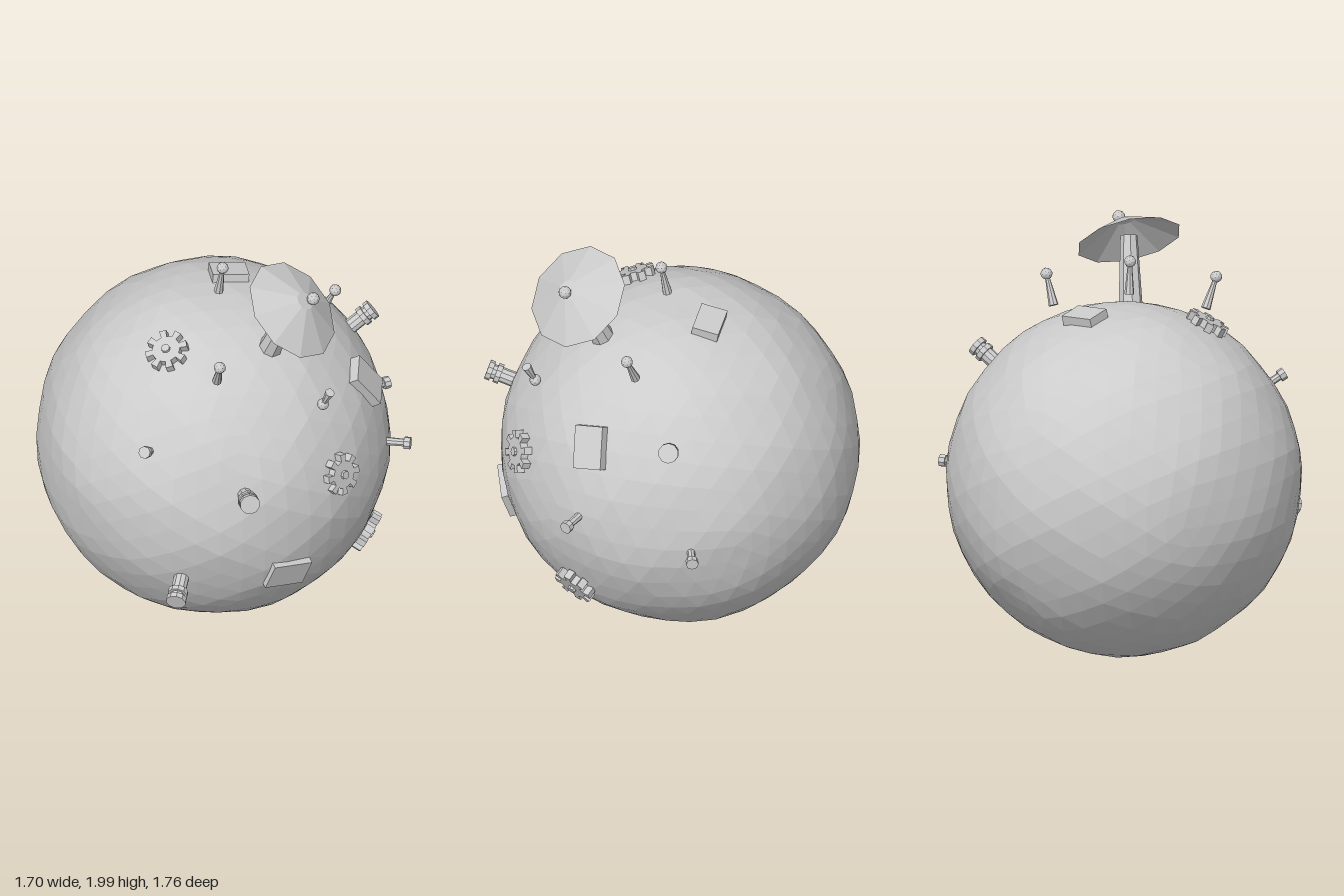
import * as THREE from 'three';

const material = new THREE.MeshStandardMaterial({ color: 0xcccccc, flatShading: true });
const doubleSided = new THREE.MeshStandardMaterial({ color: 0xcccccc, flatShading: true, side: THREE.DoubleSide });
const UP = new THREE.Vector3(0, 1, 0);
const CENTRE = new THREE.Vector3(-0.03, 0.83, -0.04);

function mesh(name, geometry, mat = material) {
  const m = new THREE.Mesh(geometry, mat);
  m.name = name;
  return m;
}

// Cylinder standing on local y0, reaching y1
function drum(name, rTop, rBottom, y0, y1, sides = 8) {
  return mesh(name, new THREE.CylinderGeometry(rTop, rBottom, y1 - y0, sides).translate(0, (y0 + y1) / 2, 0));
}

// Group whose local y points along the normal and local x follows a hint direction
function mount(name, position, parts, normal, hint = [1, 0, 0]) {
  const g = new THREE.Group();
  g.name = name;
  g.position.set(...position);
  const y = normal ? new THREE.Vector3(...normal) : g.position.clone().sub(CENTRE);
  y.normalize();
  const x = new THREE.Vector3(...hint);
  x.addScaledVector(y, -x.dot(y)).normalize();
  const z = x.clone().cross(y);
  g.quaternion.setFromRotationMatrix(new THREE.Matrix4().makeBasis(x, y, z));
  g.add(...parts);
  return g;
}

// Faceted ball with a slightly uneven surface
function makeBody() {
  const geo = new THREE.IcosahedronGeometry(1, 7);
  const p = geo.attributes.position;
  const v = new THREE.Vector3();
  for (let i = 0; i < p.count; i++) {
    v.fromBufferAttribute(p, i).normalize();
    const bump = 1
      + 0.006 * Math.sin(7 * v.x + 3 * v.y + 1) * Math.sin(6 * v.z - 4 * v.y)
      + 0.006 * Math.sin(11 * v.y + 5 * v.z) * Math.cos(9 * v.x - 2 * v.z)
      + 0.003 * Math.sin(19 * v.x + 2) * Math.sin(17 * v.y) * Math.cos(18 * v.z);
    p.setXYZ(i, v.x * 0.817 * bump, v.y * 0.822 * bump, v.z * 0.832 * bump);
  }
  geo.computeVertexNormals();
  const body = mesh('body', geo);
  body.position.copy(CENTRE);
  return body;
}

// Eight-toothed wheel with a small hub
function gearParts() {
  const shape = new THREE.Shape();
  const teeth = 8;
  const profile = [[-0.5, 0.066], [-0.24, 0.066], [-0.22, 0.1], [0.22, 0.1], [0.24, 0.066]];
  for (let i = 0; i < teeth; i++) {
    for (const [offset, r] of profile) {
      const a = ((i + offset) / teeth) * Math.PI * 2;
      const x = Math.cos(a) * r, y = Math.sin(a) * r;
      if (i === 0 && offset === -0.5) shape.moveTo(x, y);
      else shape.lineTo(x, y);
    }
  }
  shape.closePath();
  const wheel = new THREE.ExtrudeGeometry(shape, { depth: 0.045, bevelEnabled: false });
  wheel.rotateX(-Math.PI / 2).translate(0, -0.025, 0);
  return [mesh('gearWheel', wheel), drum('gearHub', 0.02, 0.022, 0.01, 0.032)];
}

// Stubby valve: stem and two collars
function valveParts() {
  return [
    drum('valveStem', 0.036, 0.036, -0.13, -0.02, 10),
    drum('valveCollar', 0.047, 0.047, -0.03, -0.005, 10),
    drum('valveNeck', 0.035, 0.035, -0.01, 0.015, 10),
    drum('valveCap', 0.047, 0.047, 0.012, 0.037, 10),
  ];
}

// Slim bolt with a wider head
function boltParts() {
  return [
    drum('boltStem', 0.018, 0.02, -0.14, -0.01),
    drum('boltHead', 0.029, 0.029, -0.015, 0.015),
  ];
}

// Tapered pin between two points, tipped with a ball at the thin end
function makePin(wide, ball) {
  const a = new THREE.Vector3(...wide), b = new THREE.Vector3(...ball);
  const dir = b.clone().sub(a);
  const length = dir.length();
  const tip = mesh('pinBall', new THREE.IcosahedronGeometry(0.028, 1));
  tip.position.y = length;
  const g = new THREE.Group();
  g.name = 'pin';
  g.position.copy(a);
  g.quaternion.setFromUnitVectors(UP, dir.normalize());
  g.add(drum('pinShaft', 0.009, 0.023, 0, length), tip);
  return g;
}

export function createModel() {
  const model = new THREE.Group();
  model.name = 'mechanicalSphere';
  model.add(makeBody());

  // Dish: mast, shallow ten-sided hood and feed ball
  model.add(mount('dishMast', [0.18, 1.54, 0.27], [drum('mast', 0.04, 0.058, -0.03, 0.34)], [0.27, 0.9, 0.3]));
  const hood = mesh('dishHood', new THREE.CylinderGeometry(0.045, 0.248, 0.1, 10, 1, true).translate(0, 0.05, 0), doubleSided);
  const cap = mesh('dishCap', new THREE.CircleGeometry(0.045, 10).rotateX(-Math.PI / 2).translate(0, 0.1, 0), doubleSided);
  cap.rotation.y = Math.PI / 2;
  model.add(mount('dish', [0.27, 1.83, 0.37], [hood, cap], [0.55, 0.75, 0.37]));
  const feed = mesh('dishBall', new THREE.IcosahedronGeometry(0.03, 1));
  feed.position.set(0.362, 1.915, 0.41);
  model.add(feed);

  // Four pins around the dish
  const pins = [
    [[-0.015, 1.71, 0.015], [0, 1.86, 0.04]],
    [[0.46, 1.555, 0.05], [0.522, 1.69, 0.075]],
    [[-0.1, 1.545, 0.475], [-0.1, 1.68, 0.553]],
    [[0.412, 1.49, 0.58], [0.385, 1.4, 0.545]],
  ];
  for (const [wide, ball] of pins) model.add(makePin(wide, ball));

  // Gears
  for (const p of [[0.46, 1.03, 0.605], [0.635, 0.44, 0.295], [-0.295, 1.57, 0.245]]) {
    model.add(mount('gear', p, gearParts()));
  }

  // Valves
  for (const p of [[0.71, 1.345, -0.17], [-0.012, 1.1, 0.835], [-0.34, 0.565, 0.795]]) {
    model.add(mount('valve', p, valveParts()));
  }

  // Bolts
  const bolts = [
    [[-0.455, 1.265, 0.595], null],
    [[0.825, 0.92, 0.285], [0.94, 0.02, 0.33]],
    [[0.825, 0.82, -0.31], [0.94, 0, -0.3]],
  ];
  for (const [p, n] of bolts) model.add(mount('bolt', p, boltParts(), n));

  // Rectangular plates
  const plates = [
    [[0.07, 1.635, -0.205], [1, 0, 0], [0.1, 0.98, -0.17]],
    [[0.64, 1.255, 0.22], [-0.5, 0.85, 0.1]],
    [[0.185, 0.585, 0.72], [0.95, -0.29, 0]],
  ];
  for (const [p, hint, n] of plates) {
    const plate = mesh('plateBox', new THREE.BoxGeometry(n ? 0.17 : 0.2, 0.05, n ? 0.125 : 0.145));
    model.add(mount('plate', p, [plate], n, hint));
  }

  return model;
}
